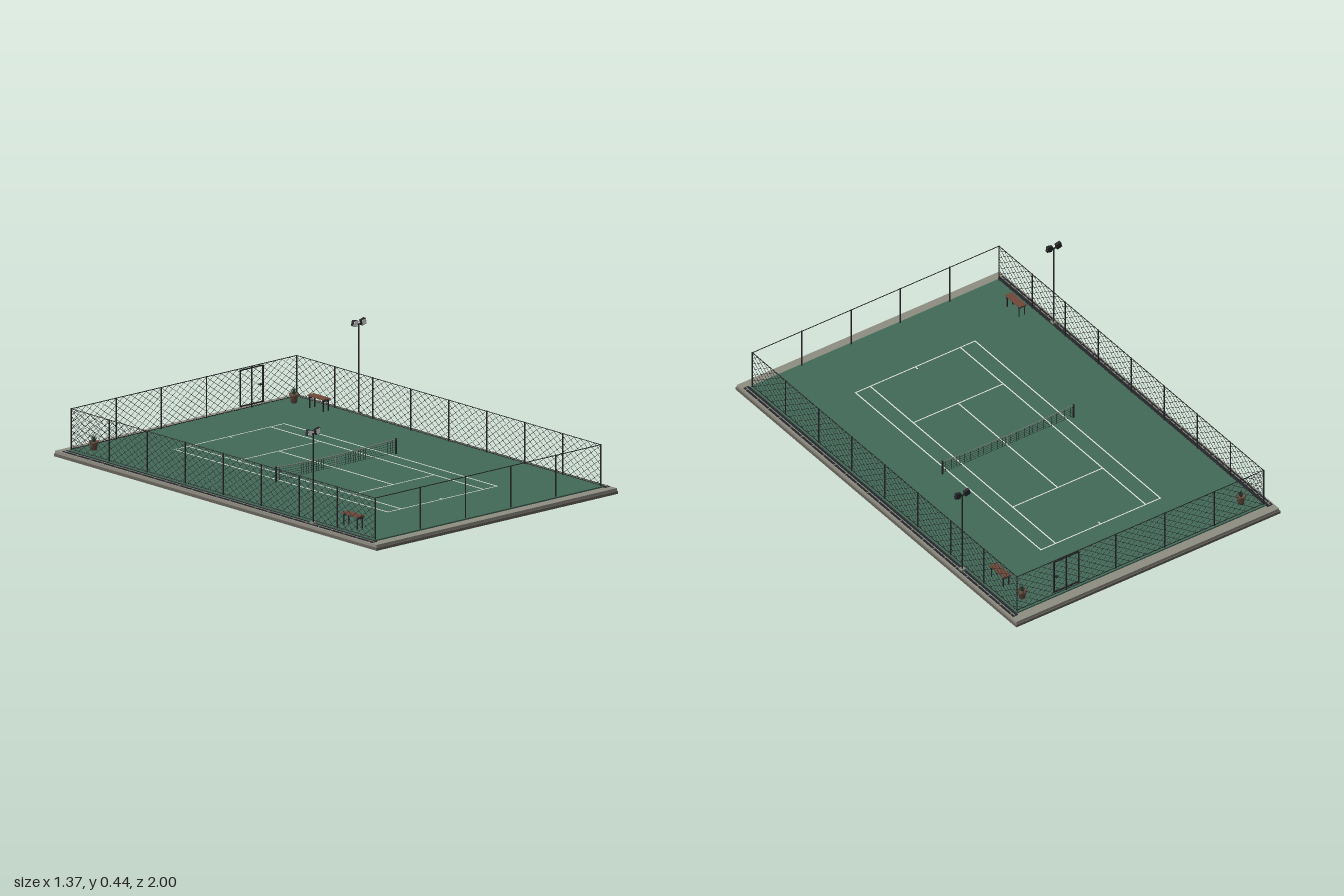
import * as THREE from 'three';
import { mergeGeometries } from 'three/addons/utils/BufferGeometryUtils.js';

const mat = (name, color) => {
  const m = new THREE.MeshStandardMaterial({ color });
  m.name = name;
  return m;
};
const V = (x, y, z) => new THREE.Vector3(x, y, z);
const FLOOR = 0.03, FX = 0.627, FZ = 0.942, TOP = 0.207;

// Straight bar between two points: square when sides = 4, else round
function bar(a, b, r, sides = 4) {
  const d = b.clone().sub(a);
  const g = new THREE.CylinderGeometry(r, r, d.length(), sides);
  g.applyQuaternion(new THREE.Quaternion().setFromUnitVectors(V(0, 1, 0), d.normalize()));
  return g.translate((a.x + b.x) / 2, (a.y + b.y) / 2, (a.z + b.z) / 2);
}

// Diamond wire lattice filling a w by h rectangle in the xy plane, centred on x
function lattice(w, h, cell, slope, r) {
  const list = [], run = h / slope;
  for (let s = -w / 2 - run; s < w / 2; s += cell) {
    const x0 = Math.max(s, -w / 2), x1 = Math.min(s + run, w / 2);
    if (x1 - x0 < 0.002) continue;
    const y0 = (x0 - s) * slope, y1 = (x1 - s) * slope;
    list.push(bar(V(x0, y0, 0), V(x1, y1, 0), r, 3));
    list.push(bar(V(-x0, y0, 0), V(-x1, y1, 0), r, 3));
  }
  return mergeGeometries(list);
}

export function createModel() {
  const root = new THREE.Group();
  root.name = 'tennisCourt';
  const concrete = mat('concrete', 0x8f8d82);
  const base = mat('dark concrete', 0x67635a);
  const green = mat('court green', 0x426a58);
  const white = mat('line white', 0xe4e6df);
  const dark = mat('dark metal', 0x25272a);
  const steel = mat('grey metal', 0x85877f);
  const wood = mat('bench wood', 0x70493a);
  const clay = mat('pot brown', 0x6a5040);
  const leaf = mat('leaf green', 0x2c4a3a);

  const add = (parent, name, geo, material) => {
    const m = new THREE.Mesh(geo, material);
    m.name = name;
    parent.add(m);
    return m;
  };
  const box = (parent, name, w, h, d, x, y, z, material) =>
    add(parent, name, new THREE.BoxGeometry(w, h, d).translate(x, y, z), material);
  const group = (name, x = 0, y = 0, z = 0) => {
    const g = new THREE.Group();
    g.name = name;
    g.position.set(x, y, z);
    root.add(g);
    return g;
  };

  // Stepped slab and playing surface
  box(root, 'foundation', 1.344, 0.012, 2, 0, 0.006, 0, base);
  box(root, 'kerb', 1.336, 0.012, 1.992, 0, 0.018, 0, concrete);
  box(root, 'surface', 1.264, 0.006, 1.9, 0, 0.027, 0, green);

  // Drain channels along both long sides
  for (const s of [-1, 1]) {
    const drain = group(s < 0 ? 'rightDrain' : 'leftDrain');
    box(drain, 'channel', 0.026, 0.003, 1.92, s * 0.647, 0.0255, 0, dark);
    box(drain, 'channelRib', 0.004, 0.001, 1.92, s * 0.649, 0.0275, 0, steel);
    const ticks = [];
    for (let i = -12; i <= 12; i++)
      ticks.push(new THREE.BoxGeometry(0.018, 0.001, 0.004).translate(s * 0.656, 0.0275, i * 0.0785));
    add(drain, 'channelJoints', mergeGeometries(ticks), steel);
  }

  // Court markings
  const lines = group('courtLines');
  const line = (w, d, x, z) => box(lines, 'line', w, 0.001, d, x, FLOOR + 0.0005, z, white);
  const t = 0.005;
  for (const s of [-1, 1]) {
    line(t, 1.32, s * 0.304, 0);
    line(t, 1.32, s * 0.229, 0);
    line(0.613, t, 0, s * 0.66);
    line(0.463, t, 0, s * 0.354);
    line(t, 0.015, 0, s * 0.65);
  }
  line(t, 0.708, 0, 0);

  // Net with a sagging top
  const net = group('net');
  const netTop = x => 0.084 + 0.009 * (x / 0.33) ** 2;
  const cords = [], tape = [], steps = 16, xs = i => -0.33 + 0.66 * i / steps;
  for (let i = 0; i < steps; i++) {
    const a = xs(i), b = xs(i + 1);
    tape.push(bar(V(a, netTop(a), 0), V(b, netTop(b), 0), 0.0026));
    for (let k = 0; k < 5; k++) {
      const y = x => 0.037 + (netTop(x) - 0.037) * k / 5;
      cords.push(bar(V(a, y(a), 0), V(b, y(b), 0), 0.0007, 3));
    }
  }
  for (let i = 0; i <= 48; i++) {
    const x = -0.33 + 0.66 * i / 48;
    cords.push(bar(V(x, 0.037, 0), V(x, netTop(x), 0), 0.0007, 3));
  }
  add(net, 'netCords', mergeGeometries(cords), dark);
  add(net, 'netTape', mergeGeometries(tape), steel);
  box(net, 'centreStrap', 0.004, 0.054, 0.003, 0, 0.057, 0, steel);
  for (const s of [-1, 1])
    add(net, 'netPost', bar(V(s * 0.333, FLOOR, 0), V(s * 0.333, 0.097, 0), 0.004, 10), dark);

  // Fence posts and rails; the front stays open between its posts
  const fence = group('fence');
  const post = (x, z) => add(fence, 'fencePost', bar(V(x, 0.024, z), V(x, TOP + 0.002, z), 0.003, 8), dark);
  for (const s of [-1, 1]) {
    for (let i = 0; i <= 8; i++) post(s * FX, -FZ + FZ * i / 4);
    for (let i = 1; i < 5; i++) post(-FX + 2 * FX * i / 5, s * FZ);
    add(fence, 'sideTopRail', bar(V(s * FX, TOP, -FZ), V(s * FX, TOP, FZ), 0.0018, 6), dark);
    add(fence, 'sideBottomRail', bar(V(s * FX, 0.034, -FZ), V(s * FX, 0.034, FZ), 0.0015, 6), dark);
    add(fence, 'endTopRail', bar(V(-FX, TOP, s * FZ), V(FX, TOP, s * FZ), 0.0018, 6), dark);
    const wire = lattice(2 * FZ, TOP - FLOOR, 0.042, 0.7, 0.0009);
    add(fence, 'sideMesh', wire.rotateY(Math.PI / 2).translate(s * FX, FLOOR, 0), dark);
  }
  const backWire = lattice(2 * FX, TOP - FLOOR, 0.042, 0.7, 0.0009);
  add(fence, 'backMesh', backWire.translate(0, FLOOR, -FZ), dark);
  add(fence, 'backBottomRail', bar(V(-FX, 0.034, -FZ), V(FX, 0.034, -FZ), 0.0015, 6), dark);

  // Gate in the back fence
  const gate = group('gate', 0.376, 0, -FZ);
  for (const s of [-1, 1]) box(gate, 'gateStile', 0.005, 0.158, 0.006, s * 0.063, 0.122, 0, dark);
  for (const y of [0.2, 0.045]) box(gate, 'gateRail', 0.13, 0.004, 0.006, 0, y, 0, dark);
  box(gate, 'gateHandle', 0.014, 0.004, 0.014, 0.05, 0.12, 0, dark);

  // Floodlights on diagonal corners
  for (const s of [-1, 1]) {
    const lamp = group('floodlight', s * 0.645, 0, -s * 0.577);
    box(lamp, 'lampFoot', 0.022, 0.008, 0.022, 0, 0.03, 0, steel);
    add(lamp, 'lampPole', bar(V(0, 0.03, 0), V(0, 0.415, 0), 0.0035, 10), dark);
    box(lamp, 'crossArm', 0.05, 0.005, 0.005, 0, 0.413, 0, dark);
    for (const k of [-1, 1]) {
      const head = new THREE.Group();
      head.name = 'lampHead';
      head.position.set(k * 0.023, 0.42, 0);
      head.rotation.z = k * 0.25;
      lamp.add(head);
      box(head, 'lampHousing', 0.025, 0.025, 0.014, 0, 0, 0, dark);
      box(head, 'lampLens', 0.021, 0.021, 0.002, 0, 0, 0.0075, white);
    }
  }

  // Slatted benches
  for (const s of [-1, 1]) {
    const bench = group('bench', s * 0.563, FLOOR, -s * 0.733);
    for (const x of [-0.012, 0, 0.012]) box(bench, 'benchSlat', 0.0105, 0.006, 0.104, x, 0.053, 0, wood);
    for (const z of [-0.042, 0.042]) {
      box(bench, 'benchBearer', 0.034, 0.008, 0.006, 0, 0.046, z, dark);
      for (const x of [-0.014, 0.014]) box(bench, 'benchLeg', 0.004, 0.044, 0.004, x, 0.022, z, dark);
    }
  }

  // Potted plants in the back corners
  const pot = [[0, 0], [0.013, 0], [0.018, 0.032], [0.021, 0.032], [0.021, 0.039], [0.017, 0.039], [0.016, 0.034], [0, 0.034]];
  for (const s of [-1, 1]) {
    const plant = group('pottedPlant', s * 0.556, FLOOR, -0.88);
    add(plant, 'pot', new THREE.LatheGeometry(pot.map(p => new THREE.Vector2(...p)), 12), clay);
    const blades = [];
    for (let i = 0; i < 14; i++) {
      const h = 0.026 + 0.012 * ((i * 5) % 7) / 7;
      blades.push(new THREE.ConeGeometry(0.0045, h, 4).translate(0, h / 2, 0)
        .rotateZ(i < 7 ? 0.55 : 0.2).rotateY(i * 0.9).translate(0, 0.033, 0));
    }
    add(plant, 'leaves', mergeGeometries(blades), leaf);
  }
  return root;
}
